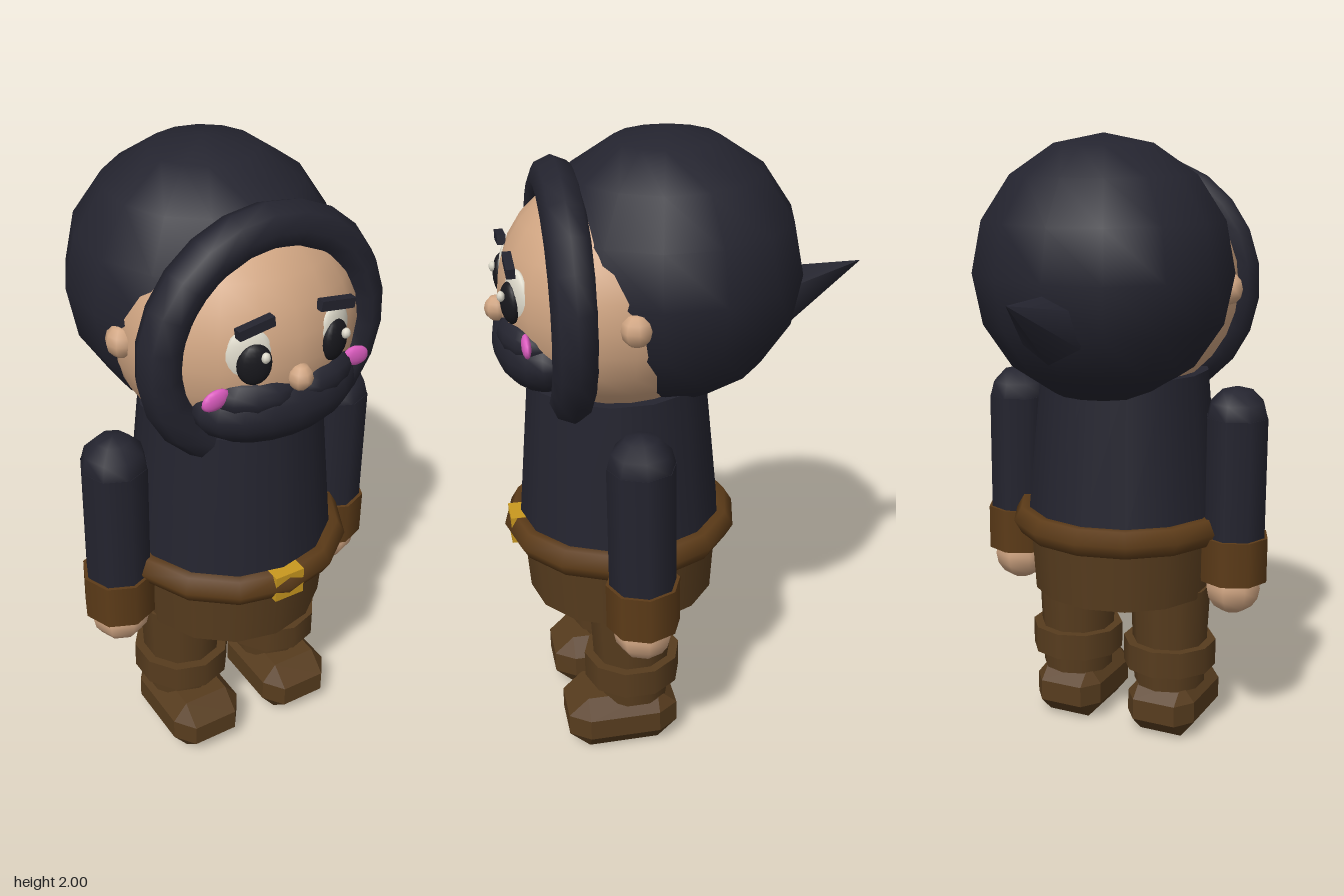
import * as THREE from 'three';
import { ConvexGeometry } from 'three/addons/geometries/ConvexGeometry.js';

const mat = (name, color, extra = {}) => {
  const m = new THREE.MeshStandardMaterial({ color, ...extra });
  m.name = name;
  return m;
};

export function createModel() {
  const cloth = mat('dark cloth', 0x24242f, { side: THREE.DoubleSide });
  const skin = mat('skin', 0xd0a582);
  const leather = mat('belt leather', 0x5c3b18);
  const trouser = mat('trouser brown', 0x573c1e);
  const boot = mat('boot brown', 0x573c1e, { flatShading: true });
  const white = mat('eye white', 0xdedacb);
  const black = mat('pupil black', 0x18181d);
  const pink = mat('cheek pink', 0xdc5cc0);
  const gold = mat('buckle gold', 0xc9981f);

  const model = new THREE.Group();
  model.name = 'hoodedFigure';
  const Z = 0.19; // body axis

  const add = (name, geo, material, x, y, z) => {
    const mesh = new THREE.Mesh(geo, material);
    mesh.name = name;
    mesh.position.set(x, y, z);
    model.add(mesh);
    return mesh;
  };
  const ball = (name, material, x, y, z, rx, ry, rz, w = 16, h = 12) => {
    const geo = new THREE.SphereGeometry(1, w, h).rotateY(Math.PI / 2);
    const mesh = add(name, geo, material, x, y, z);
    mesh.scale.set(rx, ry, rz);
    return mesh;
  };
  // Upright cylinder between two heights
  const tube = (name, material, x, y0, y1, rBottom, rTop, sides) =>
    add(name, new THREE.CylinderGeometry(rTop, rBottom, y1 - y0, sides), material, x, (y0 + y1) / 2, Z);

  // Head and hood
  ball('head', skin, 0, 1.52, Z, 0.37, 0.365, 0.355, 20, 14);
  ball('hood', cloth, 0, 1.583, 0.03, 0.414, 0.417, 0.414, 14, 8);
  const arc = Math.PI * 1.6;
  const rim = add('hoodRim', new THREE.TorusGeometry(0.335, 0.068, 8, 18, arc), cloth, 0, 1.52, 0.357);
  rim.rotation.z = Math.PI / 2 - arc / 2;
  for (const a of [0, arc]) { // closed rim ends
    const cap = new THREE.Mesh(new THREE.CircleGeometry(0.068, 8), cloth);
    cap.name = 'hoodRimEnd';
    cap.position.set(0.335 * Math.cos(a), 0.335 * Math.sin(a), 0);
    cap.rotation.set(Math.PI / 2, a, 0, 'ZYX');
    cap.rotation.set(Math.PI / 2, 0, a, 'ZYX');
    rim.add(cap);
  }
  const tip = add('hoodTip', new THREE.ConeGeometry(0.11, 0.3, 6), cloth, 0, 1.498, -0.444);
  tip.rotation.x = -1.218;

  // Face
  ball('nose', skin, 0, 1.485, 0.548, 0.037, 0.04, 0.037, 8, 6);
  ball('beard', cloth, 0, 1.375, 0.42, 0.265, 0.133, 0.148, 18, 12);
  for (const s of [1, -1]) {
    const lobe = ball('moustache', cloth, s * 0.11, 1.43, 0.475, 0.135, 0.066, 0.075, 12, 8);
    lobe.rotation.y = s * 0.3;
    ball('ear', skin, s * 0.36, 1.525, Z, 0.045, 0.05, 0.048, 8, 6);
    const eye = ball('eye', white, s * 0.135, 1.563, 0.494, 0.07, 0.085, 0.026);
    eye.rotation.y = s * 0.35;
    const pupil = ball('pupil', black, s * 0.13, 1.547, 0.516, 0.05, 0.063, 0.026);
    pupil.rotation.y = s * 0.3;
    ball('eyeGlint', white, s * 0.13 + 0.018, 1.575, 0.544, 0.014, 0.016, 0.012, 8, 6);
    const brow = add('eyebrow', new THREE.BoxGeometry(0.112, 0.03, 0.026), black, s * 0.13, 1.66, 0.515);
    brow.rotation.z = -s * 0.15;
    brow.material = cloth;
    const cheek = ball('cheek', pink, s * 0.232, 1.45, 0.487, 0.045, 0.031, 0.014, 12, 8);
    cheek.rotation.z = -s * 0.25;
  }

  // Body
  tube('tunic', cloth, 0, 0.76, 1.25, 0.325, 0.28, 14);
  tube('hips', trouser, 0, 0.5, 0.73, 0.302, 0.318, 14);
  const belt = new THREE.TorusGeometry(0.325, 0.051, 6, 14).rotateX(Math.PI / 2).rotateY(Math.PI / 2);
  add('belt', belt, leather, 0, 0.742, Z);
  add('buckle', new THREE.BoxGeometry(0.1, 0.09, 0.05), gold, 0, 0.742, 0.524);

  // Chamfered block for the boots: full on one axis, pulled in on the others
  const half = [0.122, 0.096, 0.18], inner = [0.075, 0.036, 0.115];
  const corners = [];
  for (const sx of [1, -1]) for (const sy of [1, -1]) for (const sz of [1, -1])
    for (let k = 0; k < 3; k++) {
      const p = [0, 1, 2].map(i => (i === k ? half[i] : inner[i]));
      corners.push(new THREE.Vector3(p[0] * sx, p[1] * sy, p[2] * sz));
    }
  const bootGeo = new ConvexGeometry(corners);

  // Limbs
  for (const s of [1, -1]) {
    const ax = s * 0.398, lx = s * 0.175;
    tube('sleeve', cloth, ax, 0.7, 1.12, 0.104, 0.104, 8);
    ball('shoulder', cloth, ax, 1.115, Z, 0.104, 0.104, 0.104, 8, 6);
    tube('sleeveCuff', leather, ax, 0.575, 0.725, 0.115, 0.115, 8);
    ball('hand', skin, ax, 0.55, Z, 0.094, 0.094, 0.094, 8, 8);
    tube('leg', trouser, lx, 0.17, 0.52, 0.12, 0.136, 10);
    tube('bootCuff', trouser, lx, 0.235, 0.325, 0.157, 0.157, 10);
    add('boot', bootGeo, boot, lx, 0.096, 0.235);
  }
  return model;
}
